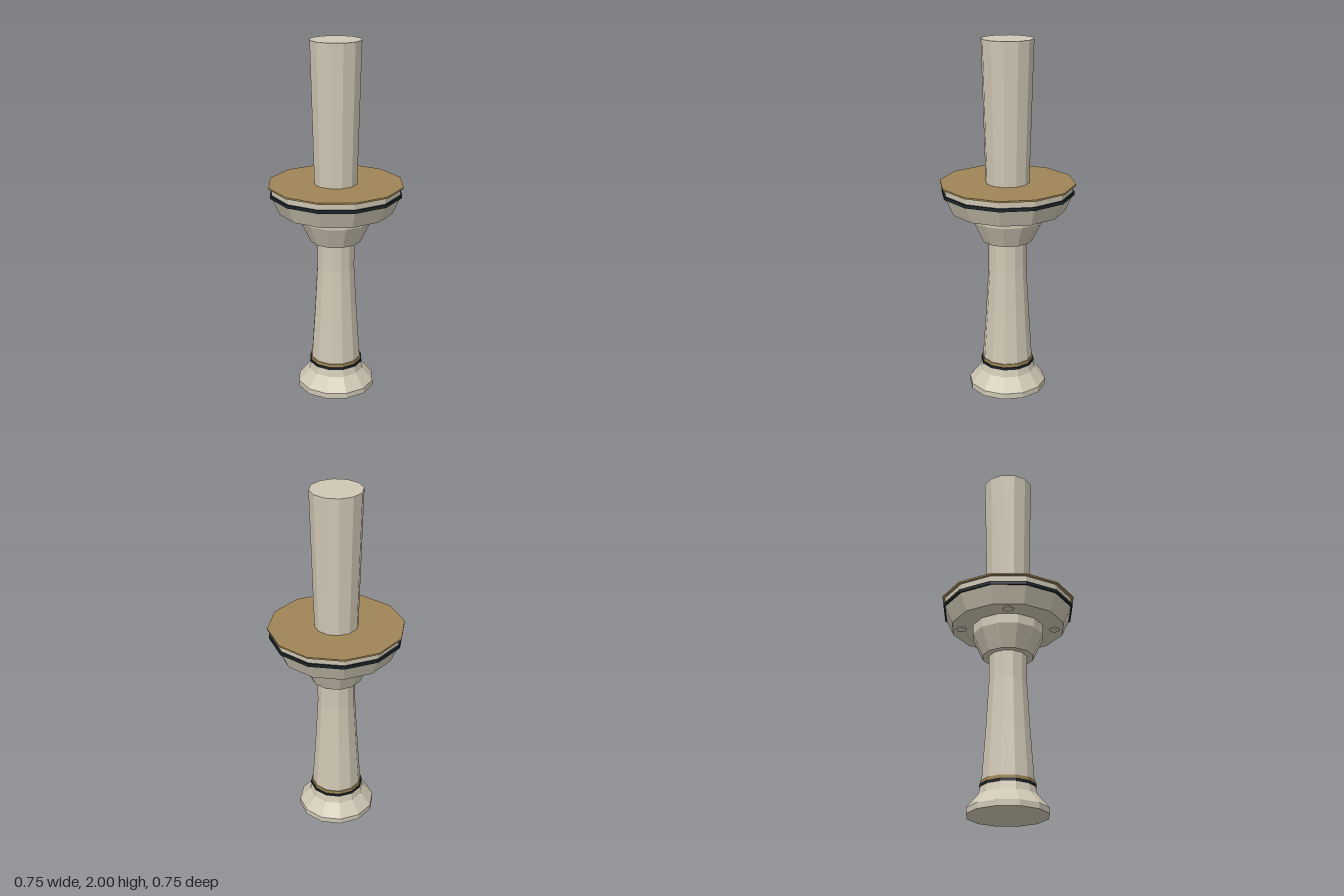
import * as THREE from 'three';

const SIDES = 12;

export function createModel() {
  const model = new THREE.Group();
  model.name = 'column';

  const makeMaterial = (name, color) => {
    const m = new THREE.MeshStandardMaterial({ color, flatShading: true });
    m.name = name;
    return m;
  };
  const stone = makeMaterial('stone', 0xcfc7b4);
  const bronze = makeMaterial('bronze', 0xa08556);
  const black = makeMaterial('black', 0x1b2327);

  // Twelve-sided turned part from [radius, height] pairs, bottom to top
  const turned = (name, material, profile) => {
    const points = profile.map(([r, y]) => new THREE.Vector2(r, y));
    const mesh = new THREE.Mesh(new THREE.LatheGeometry(points, SIDES), material);
    mesh.name = name;
    model.add(mesh);
  };

  // Flared foot
  turned('foot', stone, [[0, 0], [0.22, 0], [0.22, 0.032], [0.158, 0.105], [0.148, 0.148], [0, 0.148]]);

  // Bands above the foot
  turned('footBlackBand', black, [[0.13, 0.147], [0.153, 0.147], [0.153, 0.161], [0.13, 0.161]]);
  turned('footBronzeBand', bronze, [[0.13, 0.161], [0.147, 0.161], [0.147, 0.18], [0.13, 0.18]]);

  // Tapering lower shaft
  turned('lowerShaft', stone, [[0.142, 0.15], [0.142, 0.18], [0.122, 0.47], [0.107, 0.73], [0.107, 0.9]]);

  // Collar beneath the platform
  turned('collar', stone, [[0, 0.888], [0.142, 0.888], [0.2, 1.01], [0.2, 1.07]]);

  // Platform with its band and bronze deck
  turned('platform', stone, [[0, 1.064], [0.318, 1.064], [0.36, 1.157], [0.362, 1.212]]);
  turned('platformBlackBand', black, [[0.34, 1.158], [0.37, 1.158], [0.37, 1.176], [0.34, 1.176]]);
  turned('deck', bronze, [[0, 1.21], [0.377, 1.21], [0.377, 1.219], [0, 1.219]]);

  // Upper shaft, widening towards the top
  turned('upperShaft', stone, [[0.121, 1.215], [0.142, 2], [0, 2]]);

  // Four small discs under the platform
  for (let i = 0; i < 4; i++) {
    const angle = Math.PI / 4 + (i * Math.PI) / 2;
    const disc = new THREE.Mesh(new THREE.CylinderGeometry(0.03, 0.03, 0.008, 8), stone);
    disc.name = 'undersideDisc';
    disc.position.set(0.26 * Math.sin(angle), 1.062, 0.26 * Math.cos(angle));
    model.add(disc);
  }

  return model;
}
